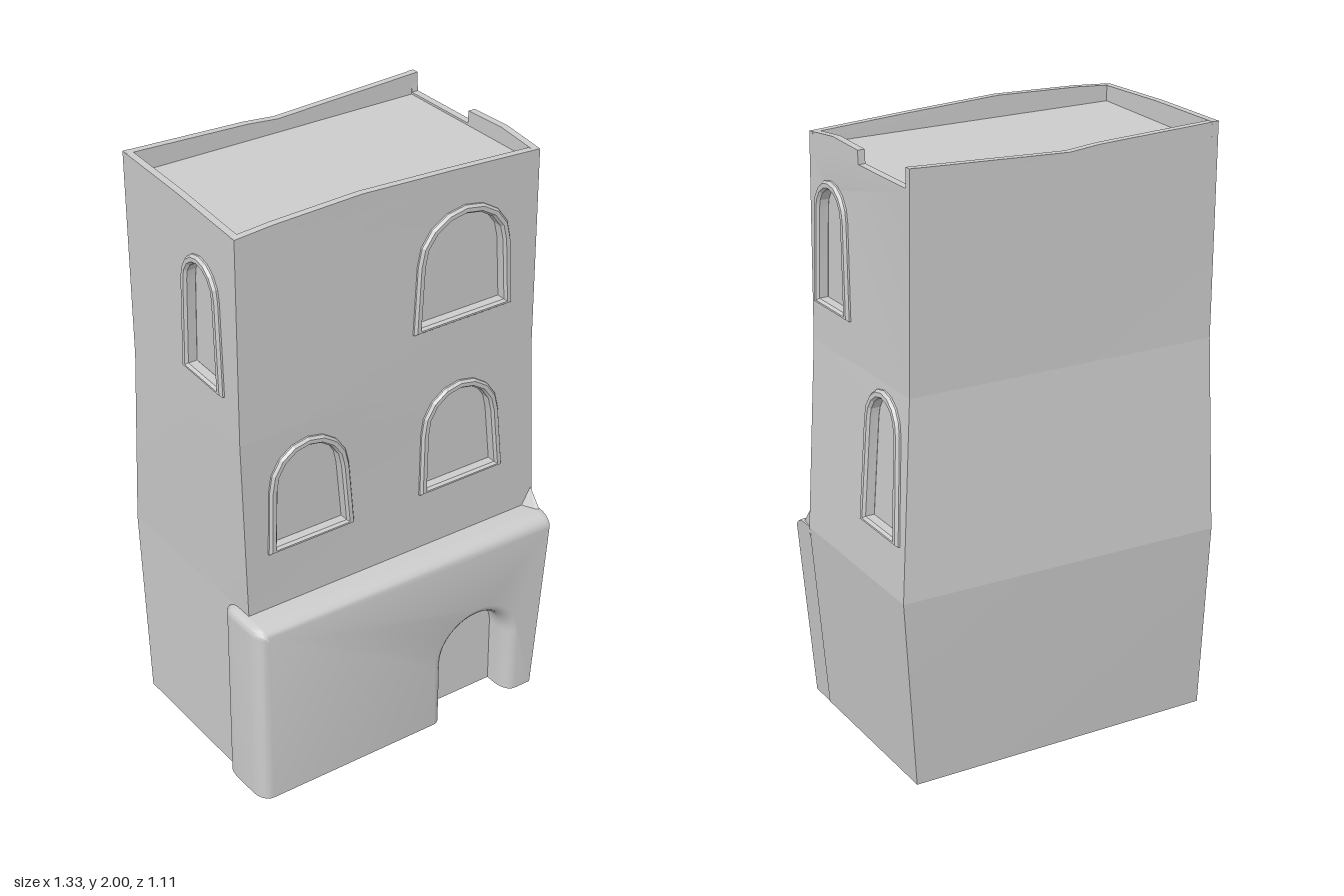
import * as THREE from 'three';
import { toCreasedNormals } from 'three/addons/utils/BufferGeometryUtils.js';
import { ConvexGeometry } from 'three/addons/geometries/ConvexGeometry.js';

const material = new THREE.MeshStandardMaterial({ color: 0xcccccc, side: THREE.DoubleSide });

// Plan corners [x, z] at each height: front left edge, front right edge, back right, back left
const LEVELS = [
  { y: 0, c: [[-0.56, 0.29], [0.505, 0.29], [0.511, -0.335], [-0.56, -0.336]] },
  { y: 0.66, c: [[-0.556, 0.285], [0.561, 0.285], [0.567, -0.371], [-0.556, -0.388]] },
  { y: 1.3, c: [[-0.583, 0.303], [0.518, 0.296], [0.51, -0.324], [-0.56, -0.336]] },
  { y: 2, c: [[-0.585, 0.306], [0.505, 0.306], [0.502, -0.332], [-0.565, -0.336]] },
];
const ROOF = 1.93;
const BANDS = [[0, 0.66], [0.66, 1.3], [1.3, ROOF]];

// Each side: nominal length, outward normal, parapet top line [s, y], windows [s, width, bottom, top]
const SIDES = [
  { name: 'front', len: 1.1, n: [0, 1],
    top: [[0, 1.98], [0.12, 1.99], [0.4, 2], [0.7, 1.985], [1, 1.967]],
    windows: [[0.742, 0.35, 1.47, 1.86], [0.734, 0.3, 0.87, 1.25], [0.215, 0.29, 0.87, 1.25]] },
  { name: 'right', len: 0.635, n: [1, 0],
    top: [[0, 1.967], [0.25, 1.985], [0.5, 1.98], [0.505, 1.937], [0.96, 1.937], [0.965, 1.99], [1, 2]],
    windows: [[0.23, 0.205, 1.43, 1.845], [0.76, 0.215, 0.83, 1.28]] },
  { name: 'back', len: 1.08, n: [0, -1],
    top: [[0, 2], [0.3, 1.985], [0.5, 1.975], [0.6, 1.985], [1, 2]], windows: [] },
  { name: 'left', len: 0.64, n: [-1, 0],
    top: [[0, 2], [0.5, 1.995], [1, 1.98]],
    windows: [[0.695, 0.205, 1.43, 1.845]] },
];

function corner(i, y) {
  let k = 0;
  while (k < LEVELS.length - 2 && y > LEVELS[k + 1].y) k++;
  const a = LEVELS[k], b = LEVELS[k + 1], t = (y - a.y) / (b.y - a.y);
  return [0, 1].map((j) => THREE.MathUtils.lerp(a.c[i][j], b.c[i][j], t));
}

function moveVertices(geometry, rule) {
  const p = geometry.attributes.position;
  for (let i = 0; i < p.count; i++) p.setXYZ(i, ...rule(p.getX(i), p.getY(i), p.getZ(i)));
  return geometry;
}

function mesh(name, geometry, angle = 0.3) {
  const m = new THREE.Mesh(toCreasedNormals(geometry, angle), material);
  m.name = name;
  return m;
}

// Lays a flat drawing (along the wall, height, depth) onto the leaning wall
function ontoWall(i, geometry) {
  const side = SIDES[i];
  return moveVertices(geometry, (x, y, z) => {
    const a = corner(i, y), b = corner((i + 1) % 4, y), s = x / side.len;
    return [a[0] + (b[0] - a[0]) * s + side.n[0] * z, y, a[1] + (b[1] - a[1]) * s + side.n[1] * z];
  });
}

// Arched opening, slightly splayed at the sill
function archPoints(cx, width, y0, y1, inset = 0) {
  const r = width / 2 - inset, top = y1 - inset, bottom = y0 + inset * 0.7;
  const spring = y1 - Math.min(width * 0.52, 0.16);
  const pts = [[cx - r - 0.012, bottom], [cx + r + 0.012, bottom]];
  for (let k = 0; k <= 8; k++) {
    const a = (k / 8) * Math.PI;
    pts.push([cx + r * Math.cos(a), spring + (top - spring) * Math.sin(a)]);
  }
  return pts.map((p) => new THREE.Vector2(...p));
}

function addWindow(group, i, [s, width, y0, y1]) {
  const cx = s * SIDES[i].len;
  const inner = archPoints(cx, width, y0, y1, 0.028);
  const ring = new THREE.Shape(archPoints(cx, width, y0, y1));
  ring.holes.push(new THREE.Path(inner));
  const frame = new THREE.ExtrudeGeometry(ring, {
    depth: 0.03, bevelSize: 0.007, bevelOffset: -0.007, bevelThickness: 0.009, bevelSegments: 1,
  }).translate(0, 0, -0.024);
  group.add(mesh('windowFrame', ontoWall(i, frame)));
  const pane = new THREE.ShapeGeometry(new THREE.Shape(archPoints(cx, width, y0, y1, 0.015)));
  group.add(mesh('windowPane', ontoWall(i, pane.translate(0, 0, -0.025))));
}

function addSide(group, i) {
  const { name, len, top, windows } = SIDES[i];
  // Wall bands, pierced by the windows they hold
  for (const [lo, hi] of BANDS) {
    const shape = new THREE.Shape([[0, lo], [len, lo], [len, hi], [0, hi]].map((p) => new THREE.Vector2(...p)));
    for (const [s, w, y0, y1] of windows) {
      if (y0 > lo && y1 < hi) shape.holes.push(new THREE.Path(archPoints(s * len, w, y0, y1, 0.02)));
    }
    group.add(mesh(name + 'Wall', ontoWall(i, new THREE.ShapeGeometry(shape))));
  }
  windows.forEach((w) => addWindow(group, i, w));
  // Uneven parapet
  const line = [[0, ROOF], [1, ROOF], ...[...top].reverse()];
  const rim = new THREE.Shape(line.map(([s, y]) => new THREE.Vector2(s * len, y)));
  const parapet = new THREE.ExtrudeGeometry(rim, { depth: 0.024, bevelEnabled: false });
  group.add(mesh(name + 'Parapet', ontoWall(i, parapet.translate(0, 0, -0.024))));
}

// Horizontal slab face through the four corners
function cap(name, y, up) {
  const c = [0, 1, 2, 3].map((i) => corner(i, y));
  const g = new THREE.BufferGeometry();
  const order = up ? [0, 1, 2, 0, 2, 3] : [0, 2, 1, 0, 3, 2];
  g.setAttribute('position', new THREE.Float32BufferAttribute(order.flatMap((i) => [c[i][0], y, c[i][1]]), 3));
  return mesh(name, g);
}

// Thick ground-floor front with rounded edges and an arched doorway
function porch() {
  const s = new THREE.Shape();
  s.moveTo(-0.586, -0.1);
  s.lineTo(0.135, -0.1);
  s.lineTo(0.135, 0.24);
  s.absellipse(0.2675, 0.24, 0.1325, 0.125, Math.PI, 0, true);
  s.lineTo(0.4, -0.1);
  s.lineTo(0.64, -0.1);
  s.lineTo(0.64, 0.6);
  s.quadraticCurveTo(0.62, 0.66, 0.54, 0.662);
  s.lineTo(-0.55, 0.662);
  s.quadraticCurveTo(-0.586, 0.662, -0.586, 0.63);
  s.closePath();
  const g = new THREE.ExtrudeGeometry(s, {
    depth: 0.1, bevelSize: 0.04, bevelOffset: -0.04, bevelThickness: 0.06, bevelSegments: 5, curveSegments: 10,
  }).translate(0, 0, 0.23);
  // Cut flush with the ground and with the leaning right wall
  moveVertices(g, (x, y, z) => {
    const h = Math.max(y, 0);
    return [Math.min(x, 0.503 + 0.085 * h), h, z];
  });
  return mesh('porch', g, 0.7);
}

export function createModel() {
  const house = new THREE.Group();
  house.name = 'house';
  SIDES.forEach((_, i) => addSide(house, i));
  house.add(cap('roof', ROOF, true), cap('base', 0, false), porch());

  // Wedge where the porch top meets the right corner
  const wedge = [[0.553, 0.73, 0.28], [0.5, 0.63, 0.28], [0.56, 0.63, 0.28], [0.553, 0.65, 0.345], [0.535, 0.63, 0.35]];
  house.add(mesh('cornerWedge', new ConvexGeometry(wedge.map((p) => new THREE.Vector3(...p)))));

  house.rotation.y = -Math.PI / 9;
  const model = new THREE.Group();
  model.name = 'tower';
  model.add(house);
  return model;
}
